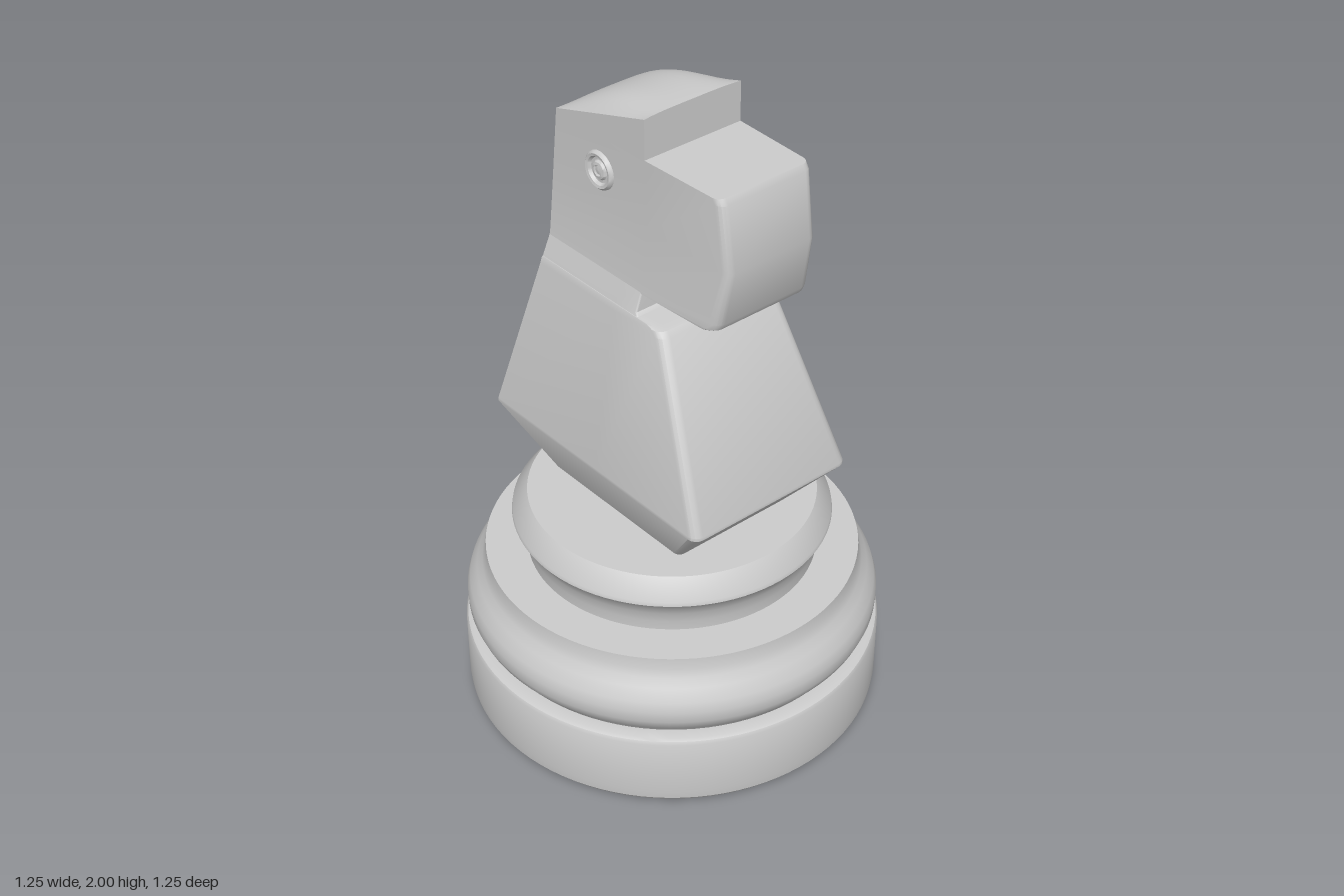
import * as THREE from 'three';
import { toCreasedNormals } from 'three/addons/utils/BufferGeometryUtils.js';

const material = new THREE.MeshStandardMaterial({ color: 0xcccccc });

function part(name, geometry, crease = 0.5) {
  const mesh = new THREE.Mesh(toCreasedNormals(geometry, crease), material);
  mesh.name = name;
  return mesh;
}

const lathe = (points, segments) =>
  new THREE.LatheGeometry(points.map(([r, y]) => new THREE.Vector2(r, y)), segments);

// Horizontal outline: sharp back corners, rounded front corners, sides narrowing from xm forward
function outline([y, x0, x1, hz, r, xm = 0, taper = 1]) {
  const ring = [[x0, y, hz], [xm, y, hz]];
  const steps = 4, fz = hz * taper;
  for (let i = 0; i <= steps; i++) {
    const a = (i / steps) * Math.PI / 2;
    ring.push([x1 - r + r * Math.sin(a), y, fz - r + r * Math.cos(a)]);
  }
  const mirrored = ring.map(([x, py, z]) => [x, py, -z]).reverse();
  return [...ring, ...mirrored];
}

// Closed solid through a stack of outlines
function loft(sections) {
  const rings = sections.map(outline);
  const n = rings[0].length, last = (rings.length - 1) * n;
  const index = [];
  for (let k = 0; k < last; k += n) {
    for (let i = 0; i < n; i++) {
      const a = k + i, b = k + (i + 1) % n;
      index.push(a, b, b + n, a, b + n, a + n);
    }
  }
  for (let i = 1; i < n - 1; i++) {
    index.push(0, i + 1, i, last, last + i, last + i + 1);
  }
  const geometry = new THREE.BufferGeometry();
  geometry.setAttribute('position', new THREE.Float32BufferAttribute(rings.flat(2), 3));
  geometry.setIndex(index);
  return geometry;
}

// Forehead block with a domed, forward-rising top
function crownGeometry() {
  const x0 = -0.283, x1 = 0.085, hz = 0.165, base = 1.872;
  const geometry = new THREE.BoxGeometry(x1 - x0, 1, hz * 2, 20, 1, 16);
  const p = geometry.attributes.position;
  for (let i = 0; i < p.count; i++) {
    const x = p.getX(i) + (x0 + x1) / 2;
    const t = THREE.MathUtils.clamp((x - x0) / (x1 - x0), 0, 1);
    const centre = 1.88 + 0.12 * (1 - (1 - t) ** 2.6);
    const edge = 1.88 + 0.115 * t;
    const y = THREE.MathUtils.lerp(centre, edge, Math.abs(p.getZ(i) / hz) ** 4);
    p.setXYZ(i, x, p.getY(i) > 0 ? y : base, p.getZ(i));
  }
  return geometry;
}

export function createModel() {
  const model = new THREE.Group();
  model.name = 'chessKnight';

  // Turned base: foot disc, bulging ring, flared collar
  model.add(part('base', lathe([
    [0, 0], [0.12, 0.003], [0.585, 0.012], [0.61, 0.02], [0.622, 0.035], [0.625, 0.06],
    [0.625, 0.245], [0.62, 0.255], [0.61, 0.26], [0.575, 0.26],
    [0.585, 0.275], [0.605, 0.3], [0.615, 0.325], [0.616, 0.36], [0.607, 0.39],
    [0.585, 0.425], [0.568, 0.45], [0.558, 0.475], [0.555, 0.51],
    [0.43, 0.51], [0.431, 0.54], [0.438, 0.575], [0.452, 0.605], [0.472, 0.63],
    [0.47, 0.642], [0.425, 0.7], [0, 0.7],
  ], 96)));

  // Body sections: y, back x, front x, half depth, corner radius
  model.add(part('chest', loft([
    [0.69, -0.27, 0.26, 0.2, 0.02],
    [0.885, -0.453, 0.43, 0.285, 0.03],
    [0.895, -0.453, 0.43, 0.285, 0.03],
    [1.395, -0.322, 0.203, 0.208, 0.03],
    [1.41, -0.32, 0.188, 0.205, 0.03],
    [1.415, -0.319, 0.165, 0.203, 0.03],
  ])));
  model.add(part('neck', loft([
    [1.405, -0.32, 0.1, 0.204, 0.005],
    [1.425, -0.318, 0.085, 0.198, 0.005],
    [1.485, -0.312, 0.085, 0.178, 0.005],
  ])));
  model.add(part('head', loft([
    [1.477, -0.313, 0.34, 0.18, 0.03, 0.09, 0.93],
    [1.485, -0.312, 0.36, 0.179, 0.03, 0.09, 0.93],
    [1.505, -0.311, 0.371, 0.177, 0.03, 0.09, 0.93],
    [1.67, -0.31, 0.4, 0.162, 0.025, 0.09, 0.95],
    [1.86, -0.285, 0.373, 0.165, 0.025, 0.09, 0.95],
    [1.877, -0.283, 0.362, 0.165, 0.025, 0.09, 0.95],
  ])));
  model.add(part('crown', crownGeometry()));

  // Ringed eye on each side
  for (const side of [1, -1]) {
    const eye = part(side > 0 ? 'frontEye' : 'backEye', lathe([
      [0.058, -0.012], [0.056, 0.004], [0.05, 0.01], [0.042, 0.008], [0.037, -0.001],
      [0.029, -0.001], [0.024, 0.006], [0.016, 0.008], [0.012, 0.004], [0, 0.006],
    ].map(([r, y]) => [r, y]), 32), 0.7);
    eye.rotation.x = side * Math.PI / 2;
    eye.position.set(-0.1, 1.77, side * 0.166);
    model.add(eye);
  }
  return model;
}
